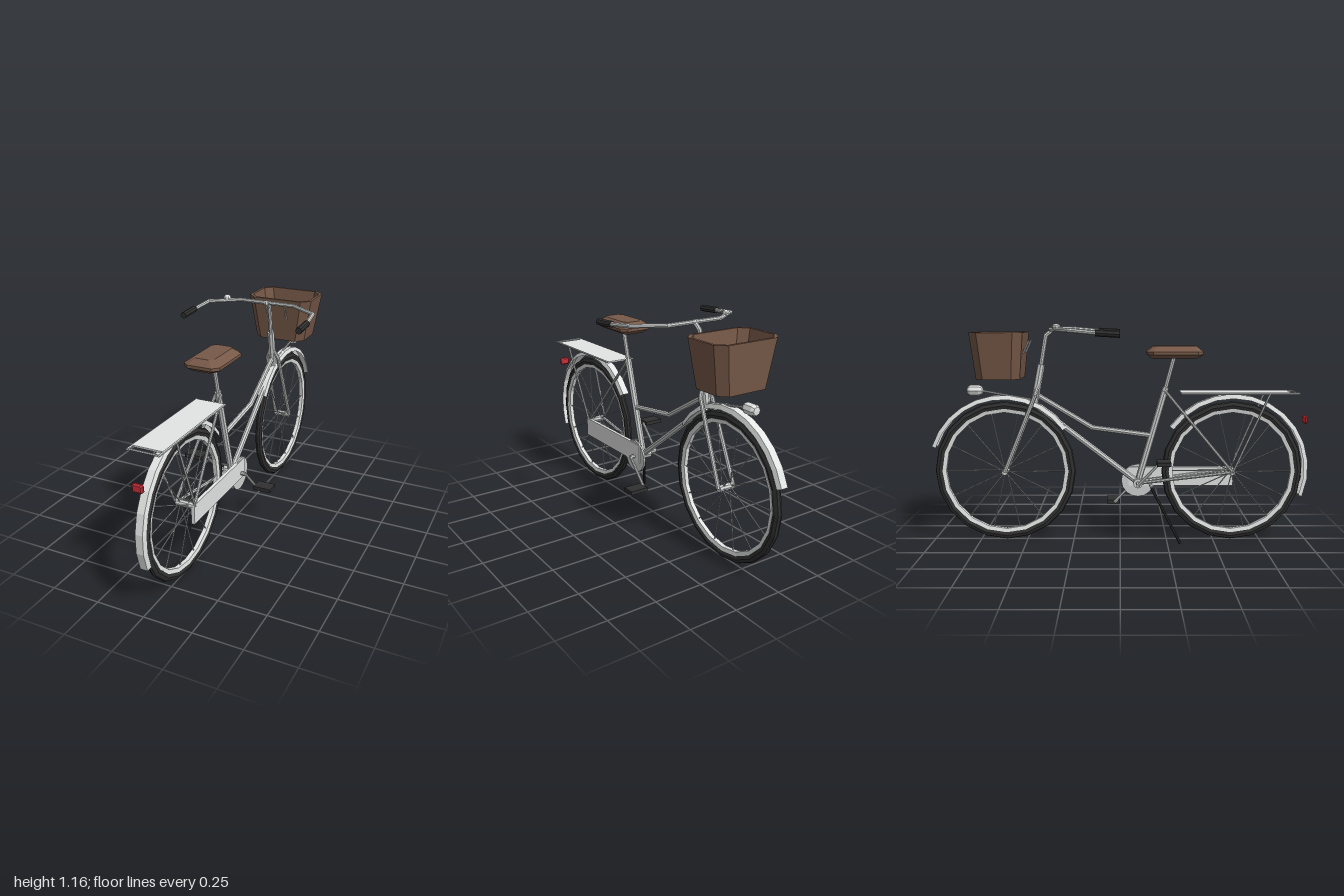
import * as THREE from 'three';

const mat = (name, color, side = THREE.FrontSide) => {
  const m = new THREE.MeshStandardMaterial({ color, flatShading: true, side });
  m.name = name;
  return m;
};

export function createModel() {
  const paint = mat('light grey paint', 0xe3e6e4, THREE.DoubleSide);
  const steel = mat('steel', 0xcfd2d1);
  const rubber = mat('black rubber', 0x303030);
  const brown = mat('brown leather', 0x775948);
  const red = mat('red reflector', 0xc82f38);

  const bike = new THREE.Group();
  bike.name = 'bicycle';
  const V = (p) => new THREE.Vector3(...p);

  const add = (name, geo, material, pos = [0, 0, 0], parent = bike) => {
    const m = new THREE.Mesh(geo, material);
    m.name = name;
    m.position.set(...pos);
    parent.add(m);
    return m;
  };

  // Straight tube segments through a list of points, with ball joints at the bends
  const tube = (name, pts, r, material = steel, sides = 8, parent = bike) => {
    const g = new THREE.Group();
    g.name = name;
    parent.add(g);
    for (let i = 0; i < pts.length - 1; i++) {
      const a = V(pts[i]), b = V(pts[i + 1]), d = b.clone().sub(a);
      const m = add(name, new THREE.CylinderGeometry(r, r, d.length(), sides), material,
        a.clone().add(b).multiplyScalar(0.5).toArray(), g);
      m.quaternion.setFromUnitVectors(new THREE.Vector3(0, 1, 0), d.normalize());
      if (i > 0) add(name + 'Joint', new THREE.SphereGeometry(r, sides, 6), material, pts[i], g);
    }
    return g;
  };
  const mirrored = (name, pts, r, material, sides) => {
    for (const s of [1, -1]) {
      tube((s > 0 ? 'left' : 'right') + name, pts.map(([x, y, z]) => [s * x, y, z]), r, material, sides);
    }
  };

  // Solid through chamfered rectangular rings: [y, half width, z min, z max, chamfer]
  const loft = (rings) => {
    const pos = [], idx = [], n = 8;
    for (const [y, w, z0, z1, c] of rings) {
      for (const [x, z] of [[w, z0 + c], [w, z1 - c], [w - c, z1], [c - w, z1],
        [-w, z1 - c], [-w, z0 + c], [c - w, z0], [w - c, z0]]) pos.push(x, y, z);
    }
    for (let i = 0; i < rings.length - 1; i++) {
      for (let j = 0; j < n; j++) {
        const a = i * n + j, b = i * n + (j + 1) % n;
        idx.push(a, a + n, b, b, a + n, b + n);
      }
    }
    const last = (rings.length - 1) * n;
    for (let j = 1; j < n - 1; j++) idx.push(0, j, j + 1, last, last + j + 1, last + j);
    const g = new THREE.BufferGeometry();
    g.setAttribute('position', new THREE.Float32BufferAttribute(pos, 3));
    g.setIndex(idx);
    g.computeVertexNormals();
    return g;
  };

  // Ring or arc about the x axis from a [radius, x] profile; angles run from +z towards +y
  const ring = (profile, segs, start = 0, end = 360) => new THREE.LatheGeometry(
    profile.map((p) => new THREE.Vector2(...p)), segs,
    THREE.MathUtils.degToRad(start), THREE.MathUtils.degToRad(end - start)).rotateZ(Math.PI / 2);

  // Wheels
  const AXLE = 0.376, REAR = 0.595, FRONT = -0.612;
  const wheel = (name, z) => {
    const g = new THREE.Group();
    g.name = name;
    g.position.set(0, AXLE, z);
    bike.add(g);
    add('tyre', ring([[0.332, -0.012], [0.353, -0.019], [0.37, -0.012], [0.375, 0],
      [0.37, 0.012], [0.353, 0.019], [0.332, 0.012], [0.332, -0.012]], 20), rubber, [0, 0, 0], g);
    add('rim', ring([[0.316, -0.011], [0.336, -0.015], [0.336, 0.015], [0.316, 0.011],
      [0.316, -0.011]], 20), paint, [0, 0, 0], g);
    add('hub', new THREE.CylinderGeometry(0.017, 0.017, 0.09, 8).rotateZ(Math.PI / 2), steel, [0, 0, 0], g);
    for (let i = 0; i < 14; i++) {
      const a = (i / 14) * Math.PI * 2, x = i % 2 ? 0.025 : -0.025;
      tube('spoke', [[x, 0, 0], [0, Math.sin(a) * 0.325, Math.cos(a) * 0.325]], 0.003, steel, 5, g);
    }
  };
  wheel('rearWheel', REAR);
  wheel('frontWheel', FRONT);

  // Mudguards
  const guard = [[0.382, -0.027], [0.405, -0.019], [0.405, 0.019], [0.382, 0.027]];
  add('rearMudguard', ring(guard, 12, -21, 145), paint, [0, AXLE + 0.008, REAR]);
  add('frontMudguard', ring(guard, 10, 35, 161), paint, [0, AXLE + 0.003, FRONT - 0.004]);

  // Frame
  const BB = [0, 0.314, 0.094];
  tube('seatTube', [BB, [0, 0.824, 0.24]], 0.018);
  tube('seatPost', [[0, 0.814, 0.237], [0, 0.989, 0.283]], 0.012);
  tube('stepThroughTube', [[0, 0.567, 0.171], [0, 0.61, -0.149], [0, 0.779, -0.429]], 0.014);
  tube('downTube', [BB, [0, 0.729, -0.444]], 0.016);
  tube('headTube', [[0, 0.944, -0.414], [0, 0.729, -0.456]], 0.02);
  mirrored('SeatStay', [[0.015, 0.809, 0.234], [0.05, AXLE, REAR]], 0.008);
  mirrored('ChainStay', [[0.025, 0.314, 0.106], [0.045, AXLE, REAR]], 0.009);
  mirrored('ForkBlade', [[0.012, 0.834, -0.432], [0.034, 0.784, -0.446], [0.045, AXLE, FRONT]], 0.011);

  // Handlebar, stem, grips and bell
  tube('stem', [[0, 0.934, -0.416], [0, 1.094, -0.388], [0, 1.126, -0.349]], 0.012);
  tube('handlebar', [[-0.32, 1.112, -0.1], [-0.302, 1.126, -0.25], [-0.155, 1.128, -0.349],
    [0.155, 1.128, -0.349], [0.302, 1.126, -0.25], [0.32, 1.112, -0.1]], 0.011);
  add('stemClamp', new THREE.SphereGeometry(0.016, 8, 6), steel, [0, 1.126, -0.349]);
  mirrored('Grip', [[0.318, 1.114, -0.12], [0.32, 1.107, -0.001]], 0.017, rubber);
  add('bell', new THREE.SphereGeometry(0.021, 8, 6), paint, [-0.22, 1.141, -0.315]).scale.y = 0.75;

  // Saddle
  add('saddle', loft([[0.978, 0.06, 0.164, 0.4, 0.02], [0.998, 0.094, 0.139, 0.429, 0.03],
    [1.013, 0.094, 0.139, 0.429, 0.03], [1.041, 0.055, 0.172, 0.396, 0.02]]), brown);

  // Basket and its hooks
  add('basket', loft([[0.874, 0.145, -0.738, -0.514, 0.04], [1.112, 0.185, -0.763, -0.492, 0.045],
    [1.112, 0.17, -0.748, -0.507, 0.04], [0.887, 0.132, -0.725, -0.527, 0.035]]), brown);
  mirrored('BasketHook', [[0.055, 1.069, -0.471], [0.055, 1.004, -0.5]], 0.005);

  // Headlamp on its arm
  tube('lampArm', [[0, 0.756, -0.454], [0, 0.806, -0.734]], 0.006);
  add('headlamp', ring([[0, 0], [0.02, 0.006], [0.029, 0.025], [0.029, 0.07], [0.02, 0.084], [0, 0.086]], 8)
    .rotateY(-Math.PI / 2), paint, [0, 0.807, -0.762]).geometry.center();

  // Luggage rack
  add('rackPlate', new THREE.BoxGeometry(0.15, 0.008, 0.574), paint, [0, 0.797, 0.605]);
  mirrored('RackRail', [[0.077, 0.797, 0.316], [0.077, 0.797, 0.93]], 0.006, steel, 6);
  tube('rackEnd', [[-0.077, 0.797, 0.925], [0.077, 0.797, 0.925]], 0.005, steel, 6);
  mirrored('RackStay', [[0.075, 0.794, 0.776], [0.055, AXLE, REAR]], 0.006, steel, 6);

  // Rear reflector
  add('reflector', loft([[-0.011, 0.02, -0.015, 0.015, 0.005], [-0.004, 0.028, -0.021, 0.021, 0.008],
    [0.004, 0.028, -0.021, 0.021, 0.008], [0.011, 0.02, -0.015, 0.015, 0.005]]).rotateX(Math.PI / 2),
  red, [0, 0.654, 0.98]);

  // Chain case, chainring and bottom bracket
  add('chainCase', new THREE.BoxGeometry(0.018, 0.104, 0.565), paint, [0.05, 0.337, 0.328]);
  add('chainring', new THREE.CylinderGeometry(0.09, 0.09, 0.01, 16).rotateZ(Math.PI / 2), steel, [0.05, 0.314, 0.096]);
  add('bottomBracket', new THREE.CylinderGeometry(0.026, 0.026, 0.08, 8).rotateZ(Math.PI / 2), steel, BB);

  // Cranks and pedals
  tube('crankAxle', [[-0.083, 0.314, 0.094], [0.083, 0.314, 0.094]], 0.011);
  for (const s of [1, -1]) {
    const y = 0.314 - s * 0.13, z = 0.094 - s * 0.125;
    tube('crankArm', [[s * 0.083, 0.314, 0.094], [s * 0.083, y, z]], 0.008);
    add('pedal', new THREE.BoxGeometry(0.1, 0.02, 0.072), rubber, [s * 0.136, y, z - s * 0.006]);
  }

  // Kickstand
  tube('kickstandBracket', [[0, 0.319, 0.156], [-0.058, 0.294, 0.168]], 0.009);
  tube('kickstand', [[-0.055, 0.294, 0.166], [-0.154, 0.019, 0.314]], 0.008, rubber);

  return bike;
}
